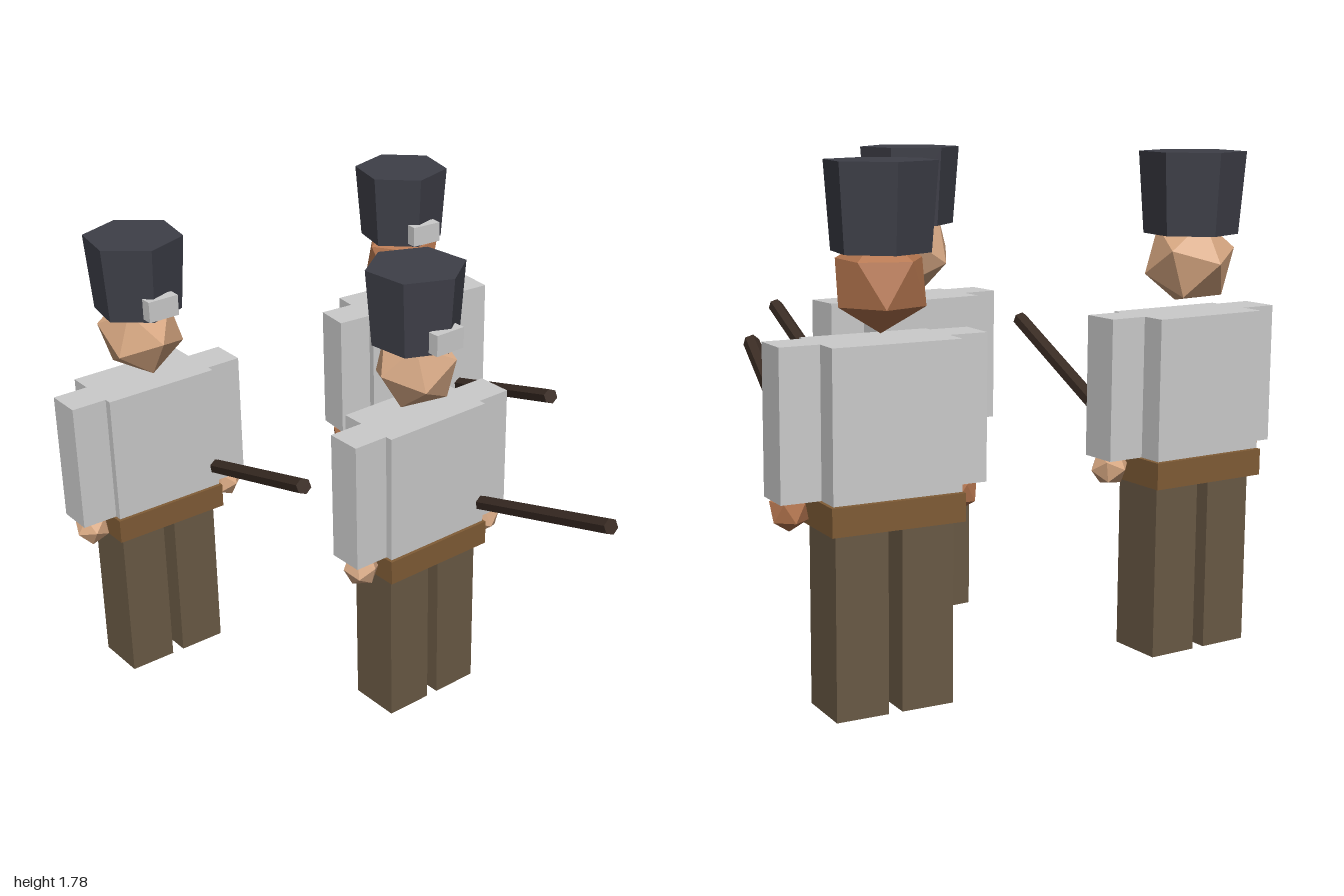
import * as THREE from 'three';

const mat = (color) => new THREE.MeshStandardMaterial({ color, flatShading: true });

// Each toy soldier: position, turn, head and hat angles, skin tone
const SOLDIERS = [
  { name: 'frontSoldier', x: 0.0, z: 0.071, turn: 0.035, head: [0.3, 0.554, 0], hat: 0.1, skin: 0xd6a884 },
  { name: 'rightRearSoldier', x: -0.628, z: -0.812, turn: 0.01, head: [0.554, 0, 0], hat: -0.17, skin: 0xd8a882 },
  { name: 'leftRearSoldier', x: 0.632, z: -0.812, turn: -0.075, head: [0, 0, 0.554], hat: -0.15, skin: 0xb5764f },
];

function createSoldier({ name, x, z, turn, head, hat, skin }, mats) {
  const soldier = new THREE.Group();
  soldier.name = name;
  soldier.position.set(x, 0, z);
  soldier.rotation.y = turn;

  const add = (part, geometry, material, px, py, pz) => {
    const mesh = new THREE.Mesh(geometry, material);
    mesh.name = part;
    mesh.position.set(px, py, pz);
    soldier.add(mesh);
    return mesh;
  };
  const box = (w, h, d) => new THREE.BoxGeometry(w, h, d);
  const skinMat = mat(skin);

  // Body
  add('torso', box(0.455, 0.5, 0.26), mats.grey, 0, 0.97, 0);
  add('belt', box(0.472, 0.095, 0.28), mats.belt, 0, 0.67, 0);

  // Legs, arms and hands, mirrored
  for (const [side, s] of [['left', 1], ['right', -1]]) {
    add(side + 'Leg', box(0.185, 0.625, 0.207), mats.trousers, s * 0.117, 0.3125, 0);
    add(side + 'Arm', box(0.14, 0.5, 0.14), mats.grey, s * 0.297, 0.97, 0.031);
    const hand = add(side + 'Hand', new THREE.IcosahedronGeometry(0.07, 0), skinMat, s * 0.305, 0.68, 0.045);
    hand.rotation.set(head[0], head[1] + s * 0.3, head[2]);
  }

  // Head and tall six-sided hat with a front plate
  add('head', new THREE.IcosahedronGeometry(0.165, 0), skinMat, 0, 1.4, 0).rotation.set(...head);
  add('hat', new THREE.CylinderGeometry(0.187, 0.165, 0.288, 6), mats.hat, 0, 1.641, -0.002).rotation.y = hat;
  add('hatPlate', box(0.125, 0.08, 0.045), mats.grey, 0, 1.553, 0.163);

  // Musket rising forward from the left arm
  const butt = new THREE.Vector3(0.237, 0.765, 0.03);
  const muzzle = new THREE.Vector3(0.088, 1.09, 0.912);
  const along = muzzle.clone().sub(butt);
  const mid = butt.clone().add(muzzle).multiplyScalar(0.5);
  const musket = add('musket', new THREE.CylinderGeometry(0.03, 0.03, along.length(), 6), mats.musket, mid.x, mid.y, mid.z);
  musket.quaternion.setFromUnitVectors(new THREE.Vector3(0, 1, 0), along.normalize());

  return soldier;
}

export function createModel() {
  const model = new THREE.Group();
  model.name = 'toySoldiers';
  const mats = {
    grey: mat(0xcccccc),
    belt: mat(0x805c36),
    trousers: mat(0x6a5a45),
    hat: mat(0x3e3f48),
    musket: mat(0x3a2c24),
  };
  for (const spec of SOLDIERS) model.add(createSoldier(spec, mats));
  return model;
}
